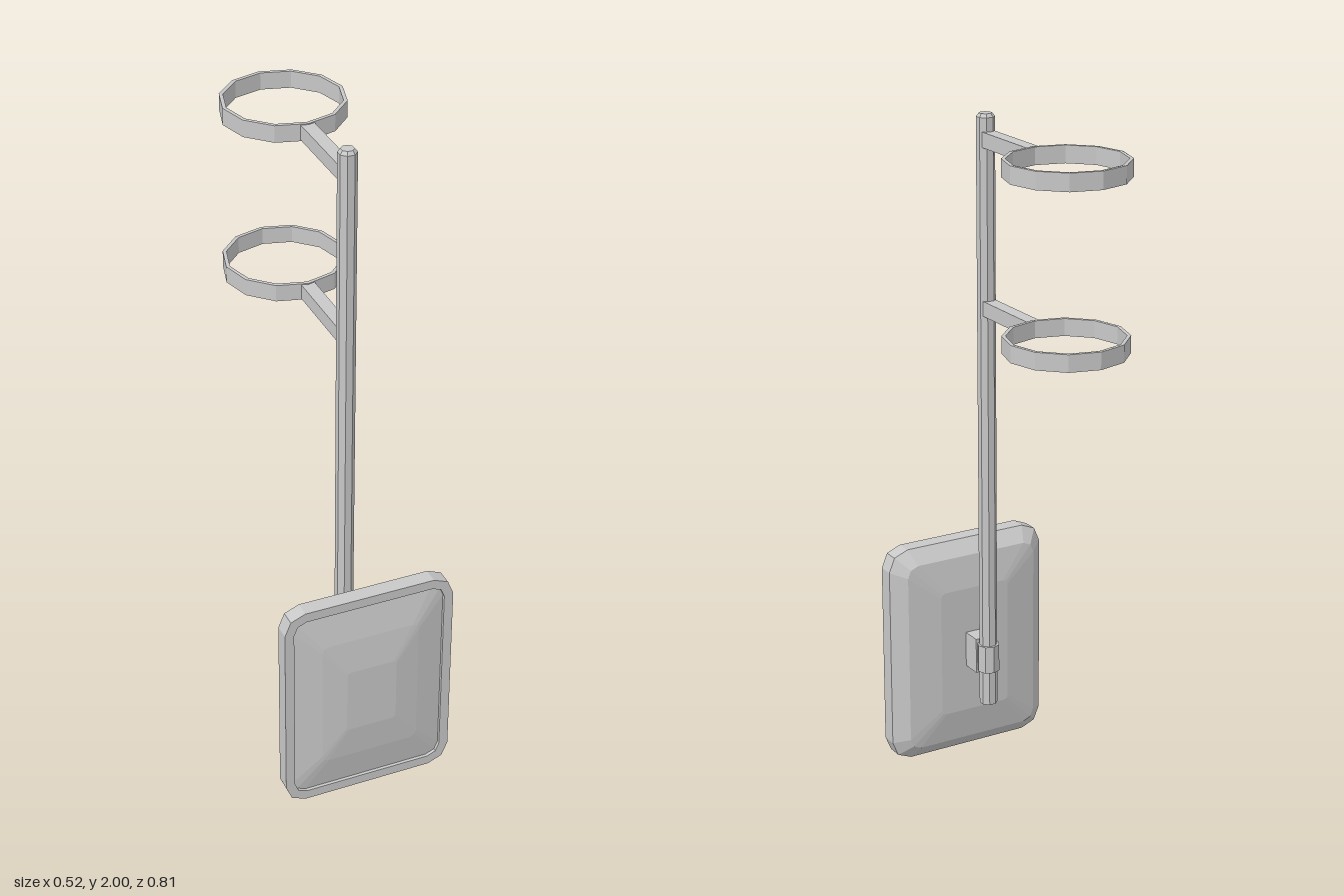
import * as THREE from 'three';

const CY = 0.3425; // height of the mirror centre
const POST_Z = 0.203;

// Rounded rectangle outline, counterclockwise seen from the front
function outline(w, h, r, z) {
  const pts = [];
  const corners = [[1, 1], [-1, 1], [-1, -1], [1, -1]];
  corners.forEach(([sx, sy], c) => {
    for (let i = 0; i <= 2; i++) {
      const a = (c + i / 2) * Math.PI / 2;
      pts.push([sx * (w - r) + r * Math.cos(a), CY + sy * (h - r) + r * Math.sin(a), z]);
    }
  });
  return pts;
}

// Skin a list of outlines from back to front and cap both ends
function loft(rings) {
  const pos = [];
  const tri = (a, b, c) => pos.push(...a, ...b, ...c);
  const n = rings[0].length;
  for (let i = 0; i < rings.length - 1; i++) {
    for (let j = 0; j < n; j++) {
      const k = (j + 1) % n;
      tri(rings[i][j], rings[i][k], rings[i + 1][k]);
      tri(rings[i][j], rings[i + 1][k], rings[i + 1][j]);
    }
  }
  const back = rings[0], front = rings[rings.length - 1];
  for (let j = 1; j < n - 1; j++) {
    tri(back[0], back[j + 1], back[j]);
    tri(front[0], front[j], front[j + 1]);
  }
  const g = new THREE.BufferGeometry();
  g.setAttribute('position', new THREE.Float32BufferAttribute(pos, 3));
  g.computeVertexNormals();
  return g;
}

export function createModel() {
  const group = new THREE.Group();
  const grey = new THREE.MeshStandardMaterial({ color: 0xc8c8c8, flatShading: true });
  grey.name = 'lightGrey';

  function add(name, geometry, x, y, z) {
    const mesh = new THREE.Mesh(geometry, grey);
    mesh.name = name;
    mesh.position.set(x, y, z);
    group.add(mesh);
    return mesh;
  }
  const lathe = (points, sides) =>
    new THREE.LatheGeometry(points.map(([r, y]) => new THREE.Vector2(r, y)), sides);

  // Mirror housing: domed back, straight rim, raised lip
  add('mirrorHousing', loft([
    outline(0.115, 0.2, 0.015, 0.284),
    outline(0.217, 0.3, 0.035, 0.301),
    outline(0.26, 0.3425, 0.062, 0.338),
    outline(0.26, 0.3425, 0.062, 0.386),
    outline(0.232, 0.313, 0.038, 0.386),
    outline(0.232, 0.313, 0.038, 0.374),
  ]), 0, 0, 0);

  // Convex mirror glass, slightly sunk at the edge
  add('mirrorGlass', loft([
    outline(0.232, 0.313, 0.038, 0.372),
    outline(0.232, 0.313, 0.038, 0.376),
    outline(0.15, 0.21, 0.02, 0.395),
    outline(0.077, 0.105, 0.01, 0.406),
  ]), 0, 0, 0);

  // Post with chamfered top, and the clamp holding the mirror to it
  const post = add('post', lathe(
    [[0, 0.195], [0.027, 0.195], [0.027, 1.99], [0.019, 2], [0, 2]], 8), 0, 0, POST_Z);
  post.rotation.y = Math.PI / 8;
  add('clamp', new THREE.CylinderGeometry(0.034, 0.034, 0.085, 8), 0, 0.345, POST_Z);
  add('mirrorBracket', new THREE.BoxGeometry(0.062, 0.11, 0.07), 0, 0.345, 0.257);

  // Two arms, each carrying a mounting ring with slightly ridged edges
  for (const [name, y] of [['lower', 1.44], ['upper', 1.928]]) {
    add(name + 'Arm', new THREE.BoxGeometry(0.04, 0.044, 0.26), 0, y, 0.067);
    add(name + 'Ring', lathe([
      [0.165, -0.025], [0.171, -0.026], [0.176, -0.025],
      [0.176, 0.025], [0.171, 0.026], [0.165, 0.025], [0.165, -0.025],
    ], 12), 0, y, -0.23);
  }
  return group;
}
